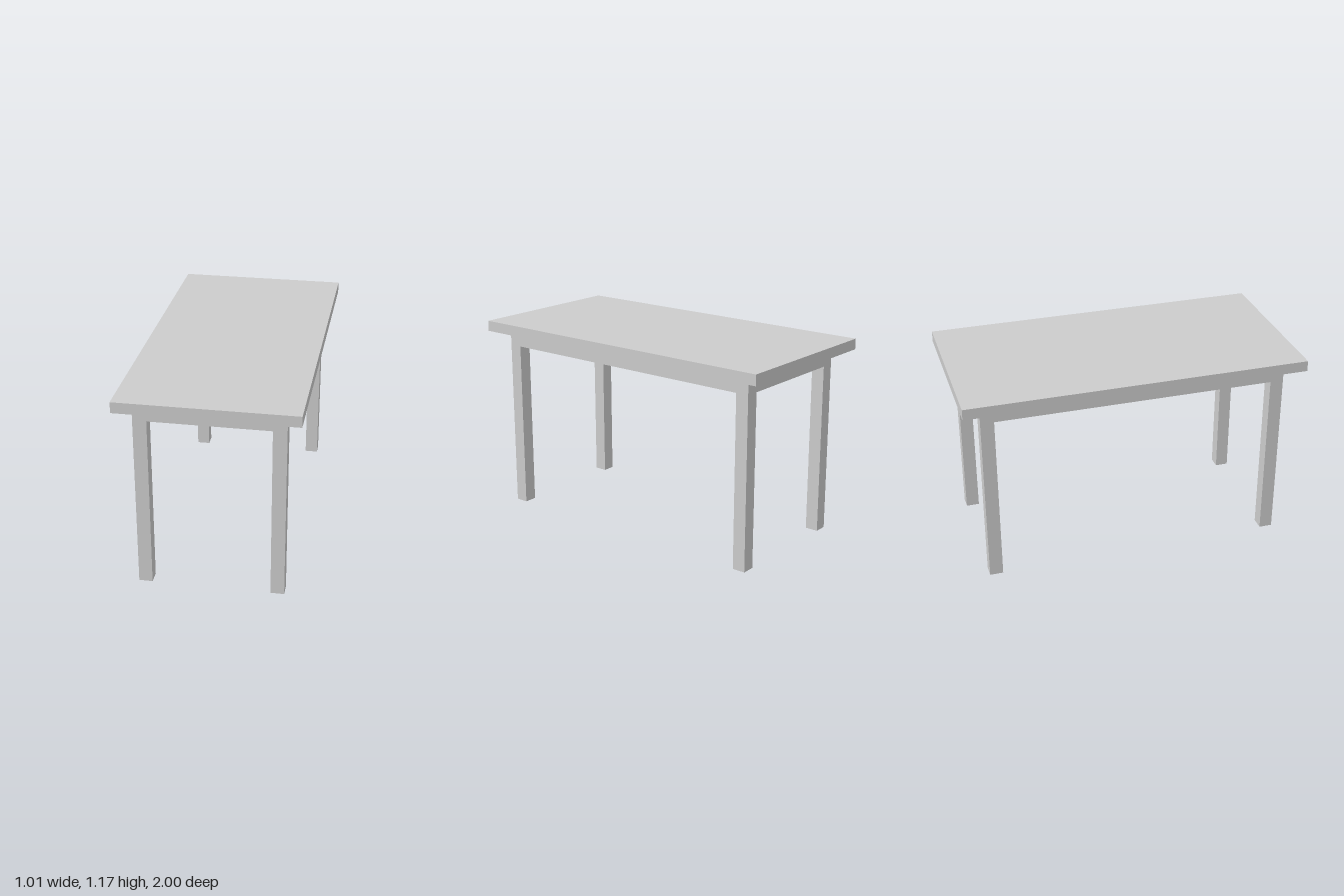
import * as THREE from 'three';

export function createModel() {
  const group = new THREE.Group();
  const material = new THREE.MeshStandardMaterial({ color: 0xcccccc });

  const box = (name, [w, h, d], [x, y, z]) => {
    const mesh = new THREE.Mesh(new THREE.BoxGeometry(w, h, d), material);
    mesh.name = name;
    mesh.position.set(x, y, z);
    group.add(mesh);
  };

  const t = 0.078;                  // leg and rail thickness
  const outX = 0.418, outZ = 0.894; // outer faces of the frame
  const top = 1.105, railH = 0.082; // frame height, rail depth
  const cx = outX - t / 2, cz = outZ - t / 2;
  const railY = top - railH / 2;

  // Table top, a hair above the frame
  box('tableTop', [1.01, 0.063, 2], [0, 1.1425, 0]);

  // Square legs at the four corners
  for (const [side, sx] of [['Left', 1], ['Right', -1]]) {
    for (const [end, sz] of [['front', 1], ['back', -1]]) {
      box(`${end}${side}Leg`, [t, top, t], [sx * cx, top / 2, sz * cz]);
    }
  }

  // Rails between the legs, flush with their faces
  for (const [name, s] of [['left', 1], ['right', -1]]) {
    box(`${name}Rail`, [t, railH, 2 * (outZ - t)], [s * cx, railY, 0]);
  }
  for (const [name, s] of [['front', 1], ['back', -1]]) {
    box(`${name}Rail`, [2 * (outX - t), railH, t], [0, railY, s * cz]);
  }

  return group;
}
